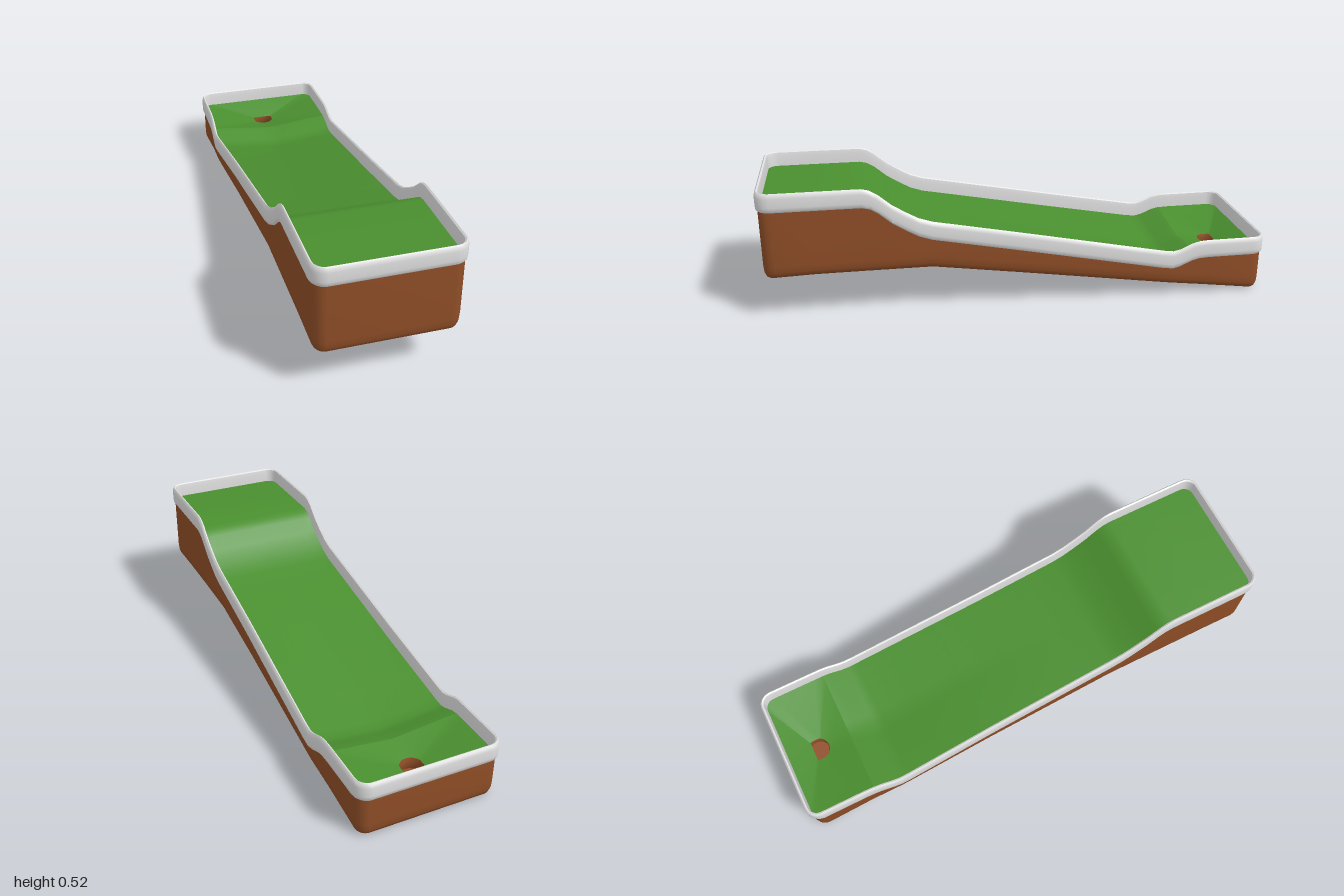
import * as THREE from 'three';
import { toCreasedNormals } from 'three/addons/utils/BufferGeometryUtils.js';

const material = (name, color, side = THREE.FrontSide) => {
  const m = new THREE.MeshStandardMaterial({ color, side });
  m.name = name;
  return m;
};

// Piecewise linear curve through [z, value] points, z falling from front to back
const curve = (pts) => (z) => {
  if (z >= pts[0][0]) return pts[0][1];
  for (let i = 1; i < pts.length; i++) {
    const [z0, v0] = pts[i - 1], [z1, v1] = pts[i];
    if (z >= z1) return v0 + (v1 - v0) * (z0 - z) / (z0 - z1);
  }
  return pts[pts.length - 1][1];
};

const rimTop = curve([[0.61, 0.525], [0.58, 0.518], [0.55, 0.5], [0.5, 0.457], [0.45, 0.425],
  [0.4, 0.397], [0.35, 0.38], [-0.57, 0.204], [-0.61, 0.199], [-0.64, 0.206], [-0.69, 0.228],
  [-0.72, 0.235], [-0.76, 0.237]]);
const bottom = curve([[1, 0.176], [0.9, 0.185], [0.35, 0.185], [-0.95, 0.006], [-1, 0.002]]);
const rightSide = curve([[0.6, 0.261], [0.35, 0.263], [0, 0.27], [-0.6, 0.288], [-0.75, 0.285]]);
const leftSide = curve([[0.35, 0.28], [-0.2, 0.283], [-0.6, 0.29], [-0.75, 0.285]]);
const sag = curve([[0.2, 0], [-0.6, 0.028], [-0.72, 0.03]]);

// Rows along the lane, denser in the rounded corners and the bends
const R = 0.055, SPLIT = -0.72;
const corner = [1, 0.95, 0.85, 0.7, 0.5, 0.25, 0].map((t) => 1 - R + R * Math.sin(t * Math.PI / 2));
const rows = [...corner, 0.8, 0.61, 0.58, 0.55, 0.5, 0.45, 0.4, 0.35, 0.2, 0, -0.2, -0.4,
  -0.57, -0.61, -0.64, -0.69, SPLIT, -0.76, ...corner.map((z) => -z).reverse()];

// Plan position of the lane edge at row z, moved inward by d; side is 1 or -1
function edge(z, side, d) {
  const half = (side > 0 ? rightSide : leftSide)(z);
  const over = Math.max(0, Math.abs(z) - (1 - R)) / R;
  const r = R - d;
  const x = half - R + r * Math.sqrt(Math.max(0, 1 - over * over));
  const zz = over > 0 ? Math.sign(z) * (1 - R + r * over) : z;
  return [side * x, zz];
}

// Closed ring around the lane: right side front to back, left side back to front
const ring = (d, height) => [...rows.map((z) => [1, z]), ...[...rows].reverse().map((z) => [-1, z])]
  .map(([side, z]) => {
    const [x, zz] = edge(z, side, d);
    return [x, height(z), zz];
  });

// Surface through equal-length sections of points
function loft(sections, closed = false, crease = 0.7) {
  const n = sections[0].length, index = [];
  for (let s = 0; s < sections.length - 1; s++) {
    for (let i = 0; i < (closed ? n : n - 1); i++) {
      const a = s * n + i, b = s * n + (i + 1) % n, c = a + n, d = b + n;
      index.push(a, b, c, b, d, c);
    }
  }
  const g = new THREE.BufferGeometry();
  g.setAttribute('position', new THREE.Float32BufferAttribute(sections.flat(2), 3));
  g.setIndex(index);
  return toCreasedNormals(g, crease);
}

export function createModel() {
  const group = new THREE.Group();
  const green = material('turf green', 0x4a8f2f, THREE.DoubleSide);
  const brown = material('earth brown', 0x8f4e27, THREE.DoubleSide);
  const white = material('rim white', 0xdedede);
  const add = (name, geometry, mat) => {
    const mesh = new THREE.Mesh(geometry, mat);
    mesh.name = name;
    group.add(mesh);
  };

  // Raised rim: closed profile of [inset, height below the top]
  const rimProfile = [[0.007, -0.075], [0.001, -0.068], [0, -0.055], [0, -0.02], [0.003, -0.005],
    [0.008, 0], [0.014, -0.004], [0.017, -0.02], [0.017, -0.075], [0.007, -0.075]];
  add('rim', loft(rimProfile.map(([d, h]) => ring(d, (z) => rimTop(z) + h)), true), white);

  // Outer skirt, open below and curled in at its lower edge
  add('skirt', loft([
    ring(0.026, bottom),
    ring(0.016, (z) => bottom(z) + 0.008),
    ring(0.01, (z) => bottom(z) + 0.024),
    ring(0.008, (z) => bottom(z) + 0.05),
    ring(0.008, (z) => rimTop(z) - 0.068),
  ], true), brown);

  // Turf: sloping lane, slightly dished across its width
  const inset = 0.013, COLS = 12;
  const turfRow = (z) => {
    const [xr, zz] = edge(z, 1, inset), [xl] = edge(z, -1, inset);
    return Array.from({ length: COLS + 1 }, (_, i) => {
      const u = i / COLS;
      const dip = sag(z) * (1 - Math.abs(2 * u - 1));
      return [xr + (xl - xr) * u, rimTop(z) - 0.06 - dip, zz];
    });
  };
  const lane = rows.filter((z) => z >= SPLIT).map(turfRow);
  // Sections run across the lane here, so reverse them to face upward
  add('lane', loft(lane.map((row) => row.reverse()).reverse(), false, 0.5), green);

  // Turf around the hole: fans from the edge of the back area down to the hole
  const holeZ = -0.86, holeR = 0.045, holeY = 0.125;
  const back = rows.filter((z) => z <= SPLIT);
  const side = (s) => back.map((z) => {
    const [x, zz] = edge(z, s, inset);
    return [x, rimTop(z) - 0.06, zz];
  });
  const border = [...side(1), ...side(-1).reverse(), ...turfRow(SPLIT).reverse().slice(1, -1)];
  const lip = border.map(([x, , z]) => {
    const a = Math.atan2(z - holeZ, x);
    return [holeR * Math.cos(a), holeY, holeZ + holeR * Math.sin(a)];
  });
  add('holeGreen', loft([border, lip], true, 0.3), green);

  // Cup under the hole
  const cupProfile = [[0, 0.075], [0.047, 0.075], [0.042, 0.09], [0.041, 0.11], [holeR, holeY]]
    .map(([r, y]) => new THREE.Vector2(r, y));
  const cup = new THREE.LatheGeometry(cupProfile, 24);
  cup.translate(0, 0, holeZ);
  add('cup', toCreasedNormals(cup, 0.7), brown);

  return group;
}
